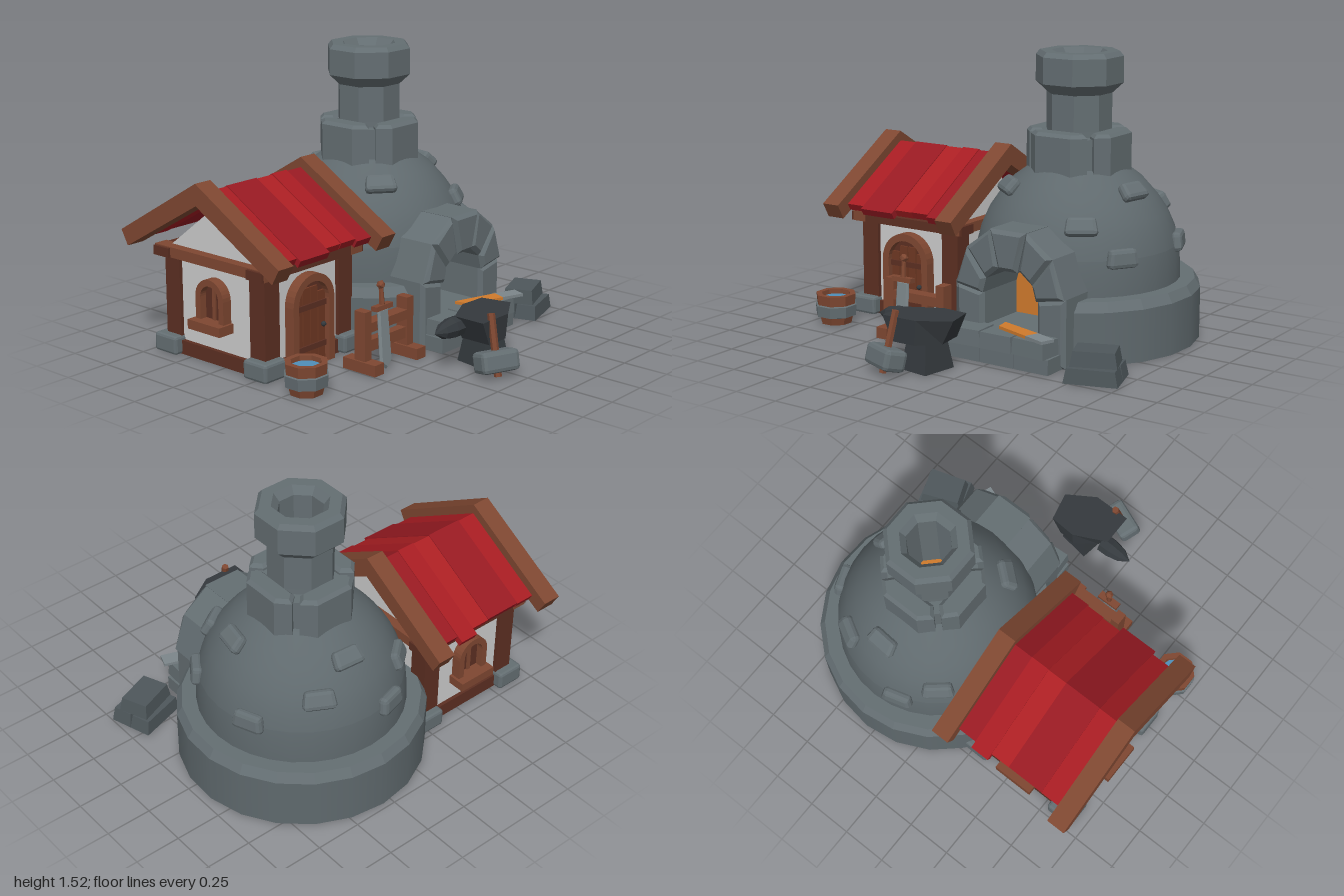
import * as THREE from 'three';
import { RoundedBoxGeometry } from 'three/addons/geometries/RoundedBoxGeometry.js';

const mat = (color, flatShading = true) => new THREE.MeshStandardMaterial({ color, flatShading });
const STONE = mat(0x646e72), STONE_SMOOTH = mat(0x5f696d, false), SLATE = mat(0x4e575b), DARK = mat(0x34393d);
const STEEL = mat(0x7c868a), WOOD = mat(0x7e4731), DARKWOOD = mat(0x5c2f22), DOOR = mat(0x6f3823);
const PLASTER = mat(0xcccccc), FIRE = mat(0xcf7a2c), WATER = mat(0x4f8fb8);
const REDS = [mat(0xa61c22), mat(0x981a22), mat(0xac1f23)];
const CX = 0.3, CZ = -0.315; // furnace axis
const HX = -0.565, HZ = -0.32; // house centre

function add(parent, name, geo, material, x = 0, y = 0, z = 0, ry = 0) {
  const m = new THREE.Mesh(geo, material);
  m.name = name;
  m.position.set(x, y, z);
  m.rotation.y = ry;
  parent.add(m);
  return m;
}
const group = (parent, name, x = 0, y = 0, z = 0, ry = 0) => {
  const g = new THREE.Group();
  g.name = name;
  g.position.set(x, y, z);
  g.rotation.y = ry;
  parent.add(g);
  return g;
};
// box given by its limits
const span = (p, name, m, x0, x1, y0, y1, z0, z1) =>
  add(p, name, new THREE.BoxGeometry(x1 - x0, y1 - y0, z1 - z0), m, (x0 + x1) / 2, (y0 + y1) / 2, (z0 + z1) / 2);
const poly = pts => new THREE.Shape(pts.map(p => new THREE.Vector2(p[0], p[1])));
const extrude = (shape, depth, bevel = 0) => new THREE.ExtrudeGeometry(shape, {
  depth: depth - 2 * bevel, bevelEnabled: bevel > 0, bevelSize: bevel, bevelThickness: bevel,
  bevelOffset: -bevel, bevelSegments: 1, curveSegments: 8 }).translate(0, 0, bevel);
const lathe = (pts, seg, start = 0, len = Math.PI * 2) =>
  new THREE.LatheGeometry(pts.map(p => new THREE.Vector2(p[0], p[1])), seg, start, len);
// scales the part of a geometry below yMid
function taper(geo, yMid, kx, kz = kx) {
  const p = geo.attributes.position;
  for (let i = 0; i < p.count; i++)
    if (p.getY(i) < yMid) p.setXYZ(i, p.getX(i) * kx, p.getY(i), p.getZ(i) * kz);
  geo.computeVertexNormals();
  return geo;
}
// box without its bottom face
function openBox(w, h, d) {
  const geo = new THREE.BoxGeometry(w, h, d);
  const index = Array.from(geo.index.array);
  index.splice(18, 6);
  geo.setIndex(index);
  return geo;
}
function archShape(w, h) {
  const s = new THREE.Shape();
  s.moveTo(-w, 0);
  s.lineTo(w, 0);
  s.lineTo(w, h - w);
  s.absarc(0, h - w, w, 0, Math.PI, false);
  return s;
}
function archFrame(w, h, t, depth) {
  const s = archShape(w, h);
  s.holes.push(archShape(w - t, h - t));
  return extrude(s, depth);
}

function furnace(root) {
  const f = group(root, 'furnace', CX, 0, CZ);
  // base ring and lower dome, both open behind the fire mouth
  const gap = 0.5, around = Math.PI * 2 - 2 * gap, step = Math.PI / 16;
  add(f, 'baseRing', lathe([[0.658, 0.01], [0.658, 0.285]], 18, gap, around), STONE_SMOOTH);
  add(f, 'baseRingTop', lathe([[0.658, 0.285], [0.628, 0.335], [0.5, 0.335]], 18, gap, around), STONE);
  add(f, 'baseFloor', new THREE.CircleGeometry(0.648, 36).rotateX(Math.PI / 2), DARK, 0, 0.012, 0);
  add(f, 'domeLower', lathe([[0.55, 0.01], [0.55, 0.33], [0.545, 0.45], [0.535, 0.52]], 28, 2 * step, 28 * step), STONE_SMOOTH);
  add(f, 'domeUpper', lathe([[0.535, 0.52], [0.515, 0.6], [0.475, 0.69], [0.42, 0.77], [0.345, 0.855], [0.25, 0.925], [0.21, 0.935]], 32), STONE_SMOOTH);
  // stones set in the dome: offsets x, z, height y, tilt
  const stones = [[-0.15, -0.52, 0.53, 0.1], [-0.32, -0.38, 0.65, 0.4], [0.03, -0.39, 0.82, 0.8], [0.24, -0.43, 0.69, 0.5],
    [0.375, 0.075, 0.83, 0.8], [-0.245, 0.295, 0.83, 0.8], [0.265, 0.4, 0.69, 0.5], [0.45, 0.3, 0.53, 0.1], [0.5, -0.195, 0.54, 0.1]];
  for (const [x, z, y, tilt] of stones) {
    const s = add(f, 'domeStone', taper(new RoundedBoxGeometry(0.155, 0.1, 0.06, 1, 0.022), 0, 1.12, 1), STONE, x, y, z);
    s.rotation.set(-tilt, Math.atan2(x, z), 0, 'YXZ');
  }
  // collar of four segments
  const ring = [[0.281, 22.5], [0.263, 41], [0.19, 41], [0.19, -41], [0.263, -41], [0.281, -22.5]]
    .map(([r, a]) => [r * Math.cos(a * Math.PI / 180), r * Math.sin(a * Math.PI / 180)]);
  for (let i = 0; i < 4; i++)
    add(f, 'collarSegment', extrude(poly(ring), 0.24, 0.018).rotateX(-Math.PI / 2), STONE, 0, 0.88, 0, i * Math.PI / 2);
  add(f, 'collarCore', lathe([[0.25, 0.88], [0.25, 1.09], [0.17, 1.09]], 8, Math.PI / 8), STONE);
  add(f, 'chimney', lathe([[0.18, 0.95], [0.175, 1.12], [0.175, 1.31], [0.234, 1.365], [0.234, 1.505], [0.212, 1.53],
    [0.15, 1.53], [0.118, 1.49], [0.118, 0.95]], 8, Math.PI / 8), STONE);
  add(f, 'chimneyFire', new THREE.CircleGeometry(0.17, 8).rotateX(-Math.PI / 2), FIRE, 0, 0.97, 0);

  // fire mouth: jambs set back slightly from the arch stones
  const a = group(root, 'fireMouth', CX);
  const outer = [[0.33, 0.01], [0.33, 0.37], [0.26, 0.57], [0.105, 0.685]];
  const inner = [[0.163, 0.01], [0.163, 0.34], [0.14, 0.42], [0.06, 0.485]];
  for (const s of [1, -1])
    for (let i = 0; i < 3; i++) {
      const q = [outer[i], outer[i + 1], inner[i + 1], inner[i]].map(p => [p[0] * s, p[1]]);
      add(a, i ? 'archStone' : 'jamb', extrude(poly(q), i ? 0.365 : 0.345, 0.022), STONE);
    }
  add(a, 'keystone', extrude(poly([[-0.108, 0.685], [0.108, 0.685], [0.058, 0.475], [-0.058, 0.475]]), 0.375, 0.022), STONE);
  span(a, 'fire', FIRE, -0.25, 0.25, 0.16, 0.56, 0.01, 0.03);
  add(a, 'hearthFloor', new THREE.PlaneGeometry(0.5, 0.34).rotateX(-Math.PI / 2), STONE, 0, 0.165, 0.19);
  // stepped hearth
  for (let i = -1; i <= 1; i++) {
    add(a, 'hearthLowerStone', openBox(0.205, 0.08, 0.16), STONE, i * 0.208, 0.05, 0.38);
    add(a, 'hearthUpperStone', taper(openBox(0.185, 0.085, 0.145), 0, 1.06), STONE, i * 0.2, 0.132, 0.397, i * -0.06);
  }
  const blade = group(root, 'hotBlade', 0.445, 0.185, 0.42, -0.34);
  add(blade, 'glowingEnd', extrude(poly([[-0.2, 0.03], [-0.16, -0.04], [0.06, -0.04], [0.06, 0.04]]), 0.016).rotateX(-Math.PI / 2), FIRE);
  span(blade, 'coolEnd', STEEL, 0.06, 0.19, 0, 0.016, -0.04, 0.04);
}

function windowUnit(parent, name, x, z, ry) {
  const w = group(parent, name, x, 0.22, z, ry);
  add(w, 'windowPane', extrude(archShape(0.08, 0.22), 0.015), DARKWOOD, 0, 0.02, 0);
  add(w, 'windowFrame', archFrame(0.1, 0.25, 0.035, 0.055), WOOD);
  span(w, 'windowBar', WOOD, -0.01, 0.01, 0.02, 0.23, 0, 0.025);
  span(w, 'windowSill', WOOD, -0.115, 0.115, -0.02, 0.03, 0, 0.1);
}

function house(root) {
  const h = group(root, 'house', HX, 0, HZ);
  const W = 0.305, D = 0.335; // half width and half depth of the walls
  // walls with gables
  add(h, 'walls', extrude(poly([[-D, 0.02], [D, 0.02], [D, 0.58], [0, 0.84], [-D, 0.58]]), 2 * W).rotateY(Math.PI / 2).translate(-W, 0, 0), PLASTER);
  span(h, 'floor', DARKWOOD, -0.32, 0.32, 0.01, 0.03, -D - 0.015, D + 0.015);
  for (const s of [1, -1]) {
    for (const t of [1, -1]) {
      add(h, 'cornerPost', new THREE.BoxGeometry(0.105, 0.56, 0.105), DARKWOOD, s * 0.272, 0.3, t * (D - 0.03));
      add(h, 'footStone', new RoundedBoxGeometry(0.16, 0.1, 0.16, 1, 0.015), STONE, s * 0.295, 0.06, t * (D - 0.01));
    }
    span(h, 'wallPlate', DARKWOOD, -0.375, 0.375, 0.535, 0.585, s * D - 0.055, s * D + 0.055);
    span(h, 'sillBeam', DARKWOOD, -0.31, 0.31, 0.01, 0.085, s * D - 0.02, s * D + 0.02);
    span(h, 'sideSillBeam', DARKWOOD, s * 0.31 - 0.018, s * 0.31 + 0.018, 0.01, 0.085, -D, D);
    span(h, 'tieBeam', WOOD, s * 0.32 - 0.04, s * 0.32 + 0.04, 0.535, 0.59, -D - 0.06, D + 0.06);
  }
  // roof: a chevron section run along x
  const slope = 0.593;
  const chevron = (name, m, x0, x1, top, front, back, t) => {
    const pts = [[0, top], [-front, top - slope * front], [-front + t * 0.45, top - slope * front - t * 0.8],
      [0, top - t * 1.15], [back - t * 0.45, top - slope * back - t * 0.8], [back, top - slope * back]];
    add(h, name, extrude(poly(pts), x1 - x0).rotateY(Math.PI / 2), m, x0, 0, 0);
  };
  chevron('gableBeam', WOOD, -0.435, -0.33, 0.985, 0.565, 0.565, 0.1);
  chevron('gableBeam', WOOD, 0.325, 0.43, 0.985, 0.565, 0.565, 0.1);
  const strips = [[-0.33, -0.218, 0.93, 0.48, 0.47], [-0.218, -0.005, 0.935, 0.505, 0.47], [-0.005, 0.108, 0.93, 0.475, 0.47],
    [0.108, 0.215, 0.936, 0.48, 0.505], [0.215, 0.325, 0.93, 0.49, 0.47]];
  strips.forEach(([x0, x1, top, f, b], i) => chevron('roofStrip', REDS[i % 3], x0, x1, top, f, b, 0.045));
  // door
  const d = group(h, 'door', -0.005, 0.01, D);
  add(d, 'doorFrame', archFrame(0.152, 0.49, 0.04, 0.06), WOOD);
  add(d, 'doorLeaf', extrude(archShape(0.115, 0.45), 0.02), DARKWOOD);
  for (let i = 0; i < 4; i++) {
    const x = -0.084 + i * 0.056;
    span(d, 'doorPlank', DOOR, x - 0.025, x + 0.025, 0, 0.305 + Math.sqrt(0.0125 - x * x), 0, 0.032);
  }
  for (const y of [0.08, 0.3]) span(d, 'doorStrap', DARKWOOD, -0.11, 0.11, y, y + 0.03, 0, 0.042);
  add(d, 'doorKnob', new THREE.SphereGeometry(0.014, 8, 6), DARK, 0.085, 0.2, 0.045);
  windowUnit(h, 'leftWindow', -W, 0, -Math.PI / 2);
  windowUnit(h, 'backWindow', 0, -D, Math.PI);
}

function yard(root) {
  // water barrel
  const b = group(root, 'barrel', -0.875, 0, 0.3);
  add(b, 'barrelStaves', lathe([[0, 0.01], [0.085, 0.01], [0.105, 0.09], [0.112, 0.175], [0.08, 0.175], [0.075, 0.1]], 8, Math.PI / 8), WOOD);
  add(b, 'barrelHoop', lathe([[0.098, 0.05], [0.112, 0.055], [0.117, 0.115], [0.106, 0.12]], 8, Math.PI / 8), STONE);
  add(b, 'water', new THREE.CircleGeometry(0.08, 8).rotateX(-Math.PI / 2), WATER, 0, 0.15, 0);

  // weapon rack and sword
  const r = group(root, 'weaponRack', -0.3, 0, 0.31);
  for (const s of [1, -1]) {
    span(r, 'rackFoot', WOOD, s * 0.165 - 0.035, s * 0.165 + 0.035, 0.01, 0.07, -0.105, 0.11);
    span(r, 'rackPost', WOOD, s * 0.165 - 0.025, s * 0.165 + 0.025, 0.05, 0.33, -0.035, 0.035);
  }
  span(r, 'rackLowerRail', WOOD, -0.18, 0.18, 0.11, 0.17, -0.025, 0.025);
  span(r, 'rackUpperRail', WOOD, -0.19, 0.19, 0.215, 0.265, -0.035, 0.035);
  const sw = group(root, 'sword', -0.367, 0, 0.38);
  sw.rotation.x = -0.08;
  add(sw, 'swordBlade', extrude(poly([[0, 0.01], [0.044, 0.05], [0.038, 0.33], [-0.038, 0.33], [-0.044, 0.05]]), 0.024, 0.01), STEEL, 0, 0, -0.012);
  span(sw, 'swordGuard', WOOD, -0.062, 0.062, 0.325, 0.35, -0.02, 0.02);
  add(sw, 'swordGrip', new THREE.CylinderGeometry(0.012, 0.015, 0.1, 6), WOOD, 0, 0.395, 0);
  add(sw, 'swordPommel', new THREE.IcosahedronGeometry(0.024, 0), WOOD, 0, 0.452, 0);

  // anvil
  const a = group(root, 'anvil', 0.03, 0, 0.69);
  const top = [[-0.17, 0.13], [0.04, 0.13], [0.195, 0.03], [0.16, -0.13], [0.01, -0.14], [-0.17, -0.05]];
  add(a, 'anvilFace', taper(extrude(poly(top), 0.13).rotateX(Math.PI / 2), -0.05, 0.65, 0.97), DARK, 0, 0.29, 0);
  add(a, 'anvilFoot', taper(new THREE.BoxGeometry(0.13, 0.16, 0.15), 0, 1.35), DARK, 0.01, 0.09, 0, -0.15);
  const horn = add(a, 'anvilHorn', lathe([[0.055, 0], [0.055, 0.06], [0.04, 0.13], [0, 0.19]], 8), DARK, -0.14, 0.235, -0.05);
  horn.rotation.z = Math.PI / 2;

  // hammer leaning on the anvil
  const h = group(root, 'hammer', -0.085, 0.09, 0.865, -0.39);
  h.rotation.order = 'YXZ';
  h.rotation.x = -0.25;
  add(h, 'hammerHead', new RoundedBoxGeometry(0.215, 0.11, 0.125, 1, 0.022), STONE);
  add(h, 'hammerHandle', new THREE.CylinderGeometry(0.02, 0.02, 0.32, 6), WOOD, 0, 0.08, 0);

  // stacked ingots
  const g = group(root, 'ingots', 0.83, 0, 0.365, 0.3);
  const ingot = (w, d, y, z, ry) => add(g, 'ingot', taper(new THREE.BoxGeometry(w, 0.078, d), 0, 1.13), SLATE, 0, y, z, ry);
  ingot(0.245, 0.105, 0.05, -0.06, 0);
  ingot(0.245, 0.105, 0.05, 0.06, 0);
  ingot(0.21, 0.15, 0.13, 0, 0.08);
}

export function createModel() {
  const root = new THREE.Group();
  root.name = 'forge';
  furnace(root);
  house(root);
  yard(root);
  return root;
}
